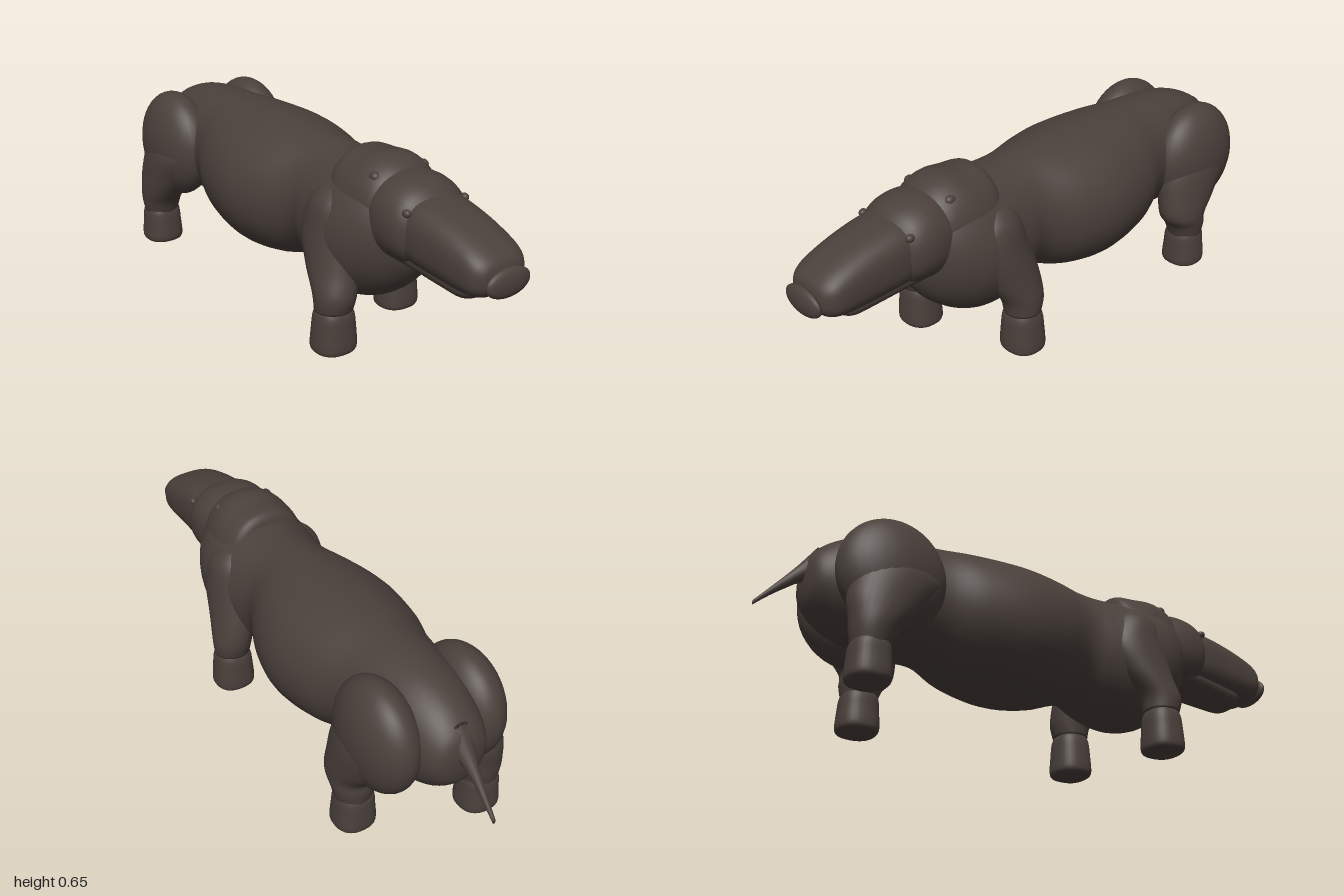
import * as THREE from 'three';

const hide = new THREE.MeshStandardMaterial({ color: 0x4a403b });
hide.name = 'darkBrownHide';

// Smooth value through a list of rows
function sampleRows(rows, s) {
  const i = Math.min(Math.floor(s), rows.length - 2), t = s - i;
  const a = rows[Math.max(i - 1, 0)], b = rows[i], c = rows[i + 1], d = rows[Math.min(i + 2, rows.length - 1)];
  return b.map((_, k) => b[k] + 0.5 * t * (c[k] - a[k]
    + t * (2 * a[k] - 5 * b[k] + 4 * c[k] - d[k] + t * (3 * (b[k] - c[k]) + d[k] - a[k]))));
}

// Skin over rounded cross-sections. Row: [t, centreU, centreV, radiusU, radiusV].
// Along z (t rising) u,v = x,y; along y (t falling) u,v = x,z. Power above 2 is boxier.
function loft(name, rows, axis = 'z', power = 2, around = 40, steps = 5) {
  const pos = [], index = [], rings = [];
  for (let j = 0; j <= (rows.length - 1) * steps; j++) rings.push(sampleRows(rows, j / steps));
  const closed = (r) => [r[0], r[1], r[2], 0, 0];
  rings.unshift(closed(rings[0]));
  rings.push(closed(rings[rings.length - 1]));
  const round = (c) => Math.sign(c) * Math.abs(c) ** (2 / power);
  rings.forEach(([t, cu, cv, ru, rv], j) => {
    for (let i = 0; i < around; i++) {
      const a = (i / around) * Math.PI * 2;
      const u = cu + Math.max(ru, 0) * round(Math.cos(a)), v = cv + Math.max(rv, 0) * round(Math.sin(a));
      if (axis === 'z') pos.push(u, v, t); else pos.push(u, t, v);
      if (j === rings.length - 1) continue;
      const p = j * around + i, q = j * around + (i + 1) % around;
      index.push(p, q, q + around, p, q + around, p + around);
    }
  });
  const g = new THREE.BufferGeometry();
  g.setAttribute('position', new THREE.Float32BufferAttribute(pos, 3));
  g.setIndex(index);
  g.computeVertexNormals();
  const mesh = new THREE.Mesh(g, hide);
  mesh.name = name;
  return mesh;
}

function ellipsoid(name, x, y, z, rx, ry, rz) {
  const mesh = new THREE.Mesh(new THREE.SphereGeometry(1, 36, 24), hide);
  mesh.name = name;
  mesh.position.set(x, y, z);
  mesh.scale.set(rx, ry, rz);
  return mesh;
}

// Section row for a centred part from its bottom, top and half width
const span = (z, low, high, half) => [z, 0, (low + high) / 2, half, (high - low) / 2];

export function createModel() {
  const model = new THREE.Group();
  model.name = 'animal';

  // Trunk: rump, barrel belly, waist and chest
  model.add(loft('body', [
    span(-0.85, 0.37, 0.43, 0.03), span(-0.83, 0.30, 0.49, 0.09), span(-0.76, 0.24, 0.55, 0.13),
    span(-0.66, 0.21, 0.592, 0.16), span(-0.54, 0.20, 0.61, 0.175), span(-0.42, 0.20, 0.615, 0.19),
    span(-0.30, 0.155, 0.62, 0.236), span(-0.14, 0.132, 0.622, 0.26), span(0.0, 0.148, 0.616, 0.235),
    span(0.13, 0.19, 0.608, 0.18), span(0.22, 0.155, 0.602, 0.19), span(0.33, 0.135, 0.605, 0.212),
    span(0.43, 0.155, 0.61, 0.205), span(0.52, 0.215, 0.60, 0.165), span(0.58, 0.29, 0.55, 0.10),
    span(0.60, 0.34, 0.50, 0.05),
  ], 'z', 2, 48));

  // Raised crest behind the head
  model.add(loft('neckCollar', [
    span(0.29, 0.33, 0.59, 0.11), span(0.31, 0.30, 0.635, 0.145), span(0.38, 0.28, 0.642, 0.165),
    span(0.45, 0.28, 0.65, 0.16), span(0.51, 0.30, 0.632, 0.147), span(0.55, 0.33, 0.60, 0.12),
  ], 'z', 2.2));

  // Head tapering into a blunt snout
  model.add(loft('skull', [
    span(0.44, 0.35, 0.59, 0.12), span(0.51, 0.335, 0.615, 0.142), span(0.58, 0.338, 0.618, 0.15),
    span(0.64, 0.345, 0.602, 0.14), span(0.68, 0.36, 0.57, 0.11),
  ], 'z', 2.2));
  model.add(loft('snout', [
    span(0.60, 0.36, 0.575, 0.115), span(0.68, 0.355, 0.575, 0.122), span(0.78, 0.35, 0.556, 0.118),
    span(0.87, 0.348, 0.527, 0.113), span(0.925, 0.355, 0.50, 0.104), span(0.955, 0.375, 0.475, 0.08),
    span(0.965, 0.39, 0.45, 0.05),
  ], 'z', 2.7));
  model.add(loft('lowerJaw', [
    span(0.54, 0.34, 0.43, 0.10), span(0.66, 0.332, 0.43, 0.095), span(0.77, 0.32, 0.42, 0.085),
    span(0.84, 0.314, 0.41, 0.075), span(0.875, 0.33, 0.40, 0.055), span(0.89, 0.35, 0.39, 0.03),
  ], 'z', 2.3));
  model.add(ellipsoid('noseDisc', 0, 0.413, 0.975, 0.084, 0.047, 0.022));

  // Tail hanging back and down
  model.add(loft('tail', [
    [-0.998, 0, 0.275, 0.006, 0.008], [-0.95, 0, 0.325, 0.010, 0.014], [-0.90, 0, 0.375, 0.016, 0.024],
    [-0.86, 0, 0.415, 0.026, 0.035], [-0.81, 0, 0.46, 0.045, 0.06],
  ], 'z', 2, 16));

  // Paired parts; the stride sets different foot positions on each side
  for (const [side, s, frontZ, hindZ] of [['left', 1, 0.268, -0.552], ['right', -1, 0.402, -0.69]]) {
    model.add(ellipsoid(side + 'Eye', s * 0.113, 0.541, 0.66, 0.013, 0.013, 0.015));
    model.add(ellipsoid(side + 'Ear', s * 0.095, 0.598, 0.485, 0.017, 0.016, 0.02));

    // Shoulder, foreleg and flat round foot
    const elbowZ = (frontZ + 0.32) / 2;
    model.add(loft(side + 'FrontLeg', [
      [0.53, s * 0.12, 0.33, 0.04, 0.05], [0.48, s * 0.13, 0.335, 0.075, 0.09],
      [0.38, s * 0.145, 0.33, 0.079, 0.115], [0.28, s * 0.162, elbowZ, 0.076, 0.10],
      [0.20, s * 0.18, frontZ, 0.07, 0.075], [0.145, s * 0.183, frontZ, 0.064, 0.061],
    ], 'y', 2, 32));
    model.add(loft(side + 'FrontFoot', [
      [0.16, s * 0.183, frontZ, 0.05, 0.045], [0.13, s * 0.183, frontZ, 0.064, 0.061],
      [0.08, s * 0.183, frontZ, 0.07, 0.066], [0.025, s * 0.183, frontZ, 0.074, 0.069],
      [0.006, s * 0.183, frontZ, 0.07, 0.065], [0, s * 0.183, frontZ, 0.06, 0.056],
    ], 'y', 2.4, 32));

    // Heavy haunch, hind leg and foot
    model.add(ellipsoid(side + 'Haunch', s * 0.158, 0.40, -0.615, 0.107, 0.194, 0.185));
    const kneeZ = hindZ * 0.6 - 0.23;
    model.add(loft(side + 'HindLeg', [
      [0.46, s * 0.165, -0.61, 0.07, 0.11], [0.38, s * 0.175, -0.60, 0.09, 0.15],
      [0.28, s * 0.188, kneeZ, 0.084, 0.125], [0.21, s * 0.197, hindZ + 0.02, 0.076, 0.092],
      [0.165, s * 0.197, hindZ + 0.005, 0.071, 0.073], [0.12, s * 0.196, hindZ, 0.062, 0.06],
    ], 'y', 2, 32));
    model.add(loft(side + 'HindFoot', [
      [0.15, s * 0.195, hindZ, 0.05, 0.045], [0.12, s * 0.195, hindZ, 0.064, 0.062],
      [0.075, s * 0.195, hindZ, 0.068, 0.067], [0.025, s * 0.195, hindZ, 0.072, 0.07],
      [0.006, s * 0.195, hindZ, 0.068, 0.066], [0, s * 0.195, hindZ, 0.058, 0.056],
    ], 'y', 2.4, 32));
  }
  return model;
}
